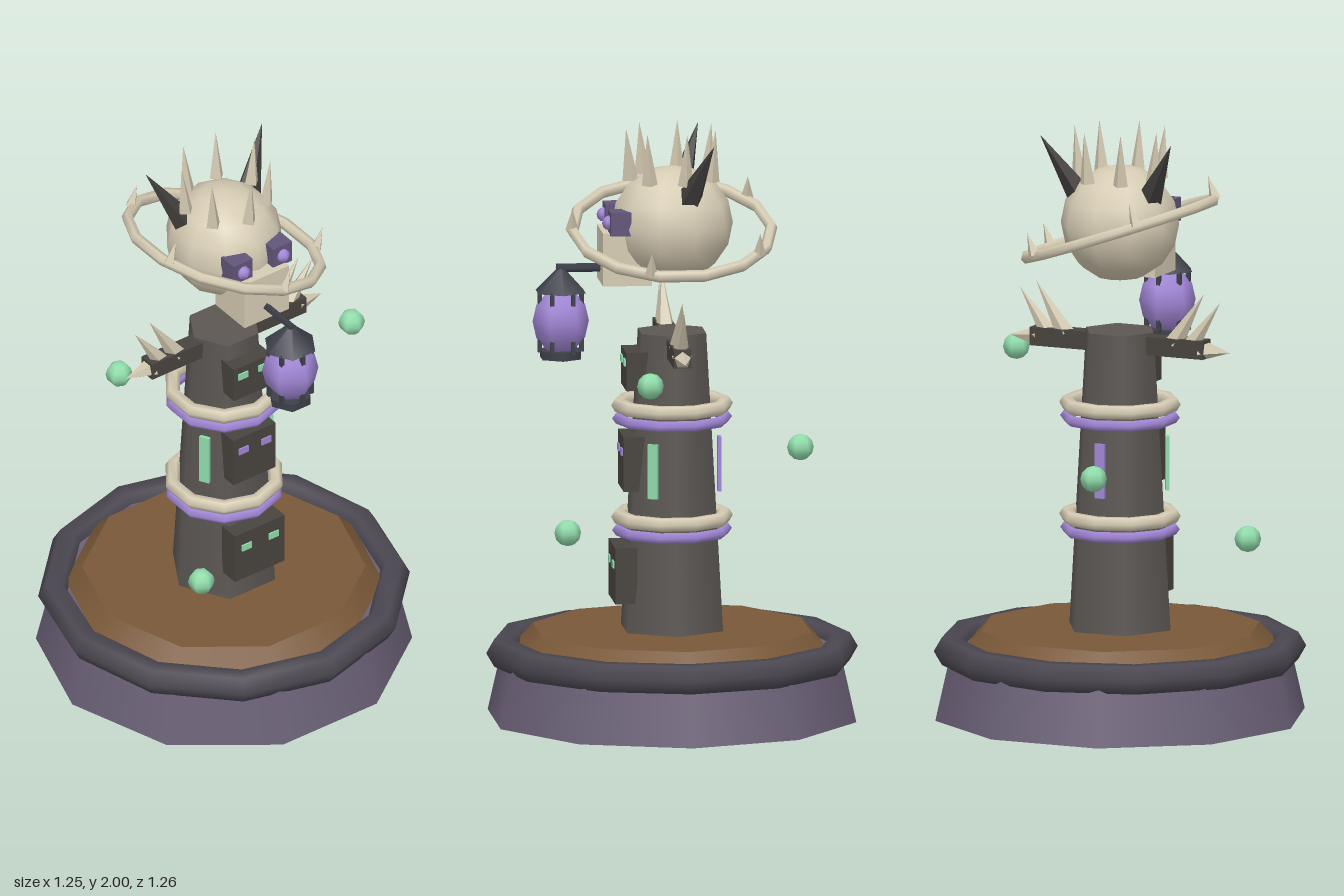
import * as THREE from 'three';

const paint = (color, flatShading = false) => new THREE.MeshStandardMaterial({ color, flatShading });
const M = {
  plinth: paint(0x6a6076), rim: paint(0x4c4852), soil: paint(0x795838), stone: paint(0x5c5753),
  carved: paint(0x48443f), bone: paint(0xd6ccb4), boneFlat: paint(0xd0c6ae, true), horn: paint(0x3f3c3a, true),
  violet: paint(0xa287d6), socket: paint(0x62567a), glow: paint(0x90dcaa), metal: paint(0x3e404a),
};

export function createModel() {
  const model = new THREE.Group();
  const add = (name, geometry, material, x = 0, y = 0, z = 0, parent = model) => {
    const mesh = new THREE.Mesh(geometry, material);
    mesh.name = name;
    mesh.position.set(x, y, z);
    parent.add(mesh);
    return mesh;
  };
  const group = (name, x, y, z) => {
    const g = new THREE.Group();
    g.name = name;
    g.position.set(x, y, z);
    model.add(g);
    return g;
  };
  const box = (w, h, d) => new THREE.BoxGeometry(w, h, d);
  // Frustum between two heights
  const column = (name, rTop, rBottom, y0, y1, sides, material, parent = model) =>
    add(name, new THREE.CylinderGeometry(rTop, rBottom, y1 - y0, sides), material, 0, (y0 + y1) / 2, 0, parent);
  // Horizontal ring
  const ring = (name, radius, tube, radial, sides, y, material, parent = model) =>
    add(name, new THREE.TorusGeometry(radius, tube, radial, sides).rotateX(Math.PI / 2), material, 0, y, 0, parent);
  // Cone from a base point to a tip
  const spike = (name, from, to, radius, sides, material, parent = model) => {
    const a = new THREE.Vector3(...from), dir = new THREE.Vector3(...to).sub(a), length = dir.length();
    const cone = add(name, new THREE.ConeGeometry(radius, length, sides), material, 0, 0, 0, parent);
    cone.position.copy(a).addScaledVector(dir, 0.5);
    cone.quaternion.setFromUnitVectors(new THREE.Vector3(0, 1, 0), dir.normalize());
    return cone;
  };

  // Planter base
  column('plinth', 0.575, 0.63, 0, 0.24, 10, M.plinth);
  ring('plinthRim', 0.572, 0.054, 6, 12, 0.225, M.rim);
  column('soil', 0.475, 0.55, 0.22, 0.3, 10, M.soil);

  // Hexagonal pillar with paired bands
  column('pillar', 0.125, 0.188, 0.28, 1.31, 6, M.stone);
  for (const y of [0.68, 1.06]) {
    ring('boneBand', 0.18, 0.025, 6, 10, y, M.bone);
    ring('violetBand', 0.183, 0.019, 5, 10, y - 0.045, M.violet);
  }

  // Carved faces stacked on the +x side
  const faces = [
    { x: 0.165, y: 0.495, w: 0.205, h: 0.19, eyeY: 0.53, eyes: M.glow },
    { x: 0.135, y: 0.872, w: 0.175, h: 0.185, eyeY: 0.91, eyes: M.violet },
    { x: 0.125, y: 1.185, w: 0.155, h: 0.13, eyeY: 1.213, eyes: M.glow },
  ];
  for (const f of faces) {
    add('carvedFace', box(0.075, f.h, f.w), M.carved, f.x, f.y, 0);
    for (const s of [-1, 1]) add('carvedEye', box(0.012, 0.024, 0.04), f.eyes, f.x + 0.037, f.eyeY, s * f.w * 0.27);
  }

  // Light strips on alternate sides of the pillar
  [Math.PI / 3, -Math.PI / 3, Math.PI].forEach((a, i) => {
    const strip = add('lightStrip', box(0.012, 0.185, 0.036), i < 2 ? M.glow : M.violet,
      0.159 * Math.cos(a), 0.855, 0.159 * Math.sin(a));
    strip.rotation.y = -a;
  });

  // Arms with claws, mirrored along z
  for (const s of [-1, 1]) {
    add('arm', box(0.06, 0.062, 0.24), M.carved, 0, 1.268, s * 0.2);
    spike('claw', [0, 1.265, s * 0.3], [0, 1.262, s * 0.405], 0.036, 5, M.boneFlat);
    spike('claw', [0, 1.28, s * 0.265], [0, 1.43, s * 0.37], 0.03, 5, M.boneFlat);
    spike('claw', [0, 1.28, s * 0.2], [0, 1.455, s * 0.31], 0.034, 5, M.boneFlat);
  }

  // Floating skull with jaw, eyes and horns
  const skull = group('skull', 0, 1.675, 0);
  add('cranium', new THREE.SphereGeometry(0.205, 10, 8).scale(1, 0.96, 0.97), M.bone, 0, 0, 0, skull);
  add('jaw', box(0.165, 0.18, 0.185), M.bone, 0.16, -0.105, 0, skull);
  for (const s of [-1, 1]) {
    add('eyeSocket', box(0.07, 0.08, 0.08), M.socket, 0.185, 0.02, s * 0.082, skull);
    add('eye', new THREE.SphereGeometry(0.025, 6, 6), M.violet, 0.22, 0.02, s * 0.082, skull);
    spike('horn', [-0.04, 0.09, s * 0.125], [-0.115, 0.3, s * 0.242], 0.047, 5, M.horn, skull);
  }
  for (let i = 0; i < 7; i++) {
    const a = (i / 7) * Math.PI * 2, c = Math.cos(a), n = Math.sin(a);
    spike('crownSpike', [0.14 * c, 0.15, 0.14 * n], [0.155 * c, 0.325, 0.155 * n], 0.027, 4, M.boneFlat, skull);
  }

  // Tilted halo with thorns
  const halo = group('halo', 0, 1.655, 0);
  halo.rotation.x = -0.33;
  ring('haloRing', 0.335, 0.02, 6, 14, 0, M.bone, halo);
  for (let i = 0; i < 5; i++) {
    const a = (i / 5) * Math.PI * 2, x = 0.338 * Math.cos(a), z = 0.338 * Math.sin(a);
    spike('haloThorn', [x, 0.005, z], [x, 0.085, z], 0.022, 4, M.boneFlat, halo);
  }

  // Lantern hung from the jaw
  add('lanternPole', new THREE.CylinderGeometry(0.015, 0.015, 0.2, 4).rotateZ(Math.PI / 2), M.metal, 0.29, 1.53, 0);
  const lantern = group('lantern', 0.375, 0, 0);
  column('lanternRoof', 0.012, 0.092, 1.45, 1.53, 6, M.metal, lantern);
  add('lanternGlass', new THREE.SphereGeometry(0.095, 6, 6).scale(1, 1.18, 1), M.violet, 0, 1.35, 0, lantern);
  column('lanternFoot', 0.075, 0.075, 1.224, 1.252, 6, M.metal, lantern);
  for (let i = 0; i < 6; i++) {
    const a = (i / 6) * Math.PI * 2;
    add('lanternBar', box(0.014, 0.21, 0.014), M.metal, 0.07 * Math.cos(a), 1.35, 0.07 * Math.sin(a), lantern);
  }

  // Drifting wisps
  for (const [x, y, z] of [[-0.445, 0.885, 0.11], [0.315, 0.57, 0.325], [0.122, 1.2, -0.44]])
    add('wisp', new THREE.SphereGeometry(0.045, 6, 6), M.glow, x, y, z);

  return model;
}
